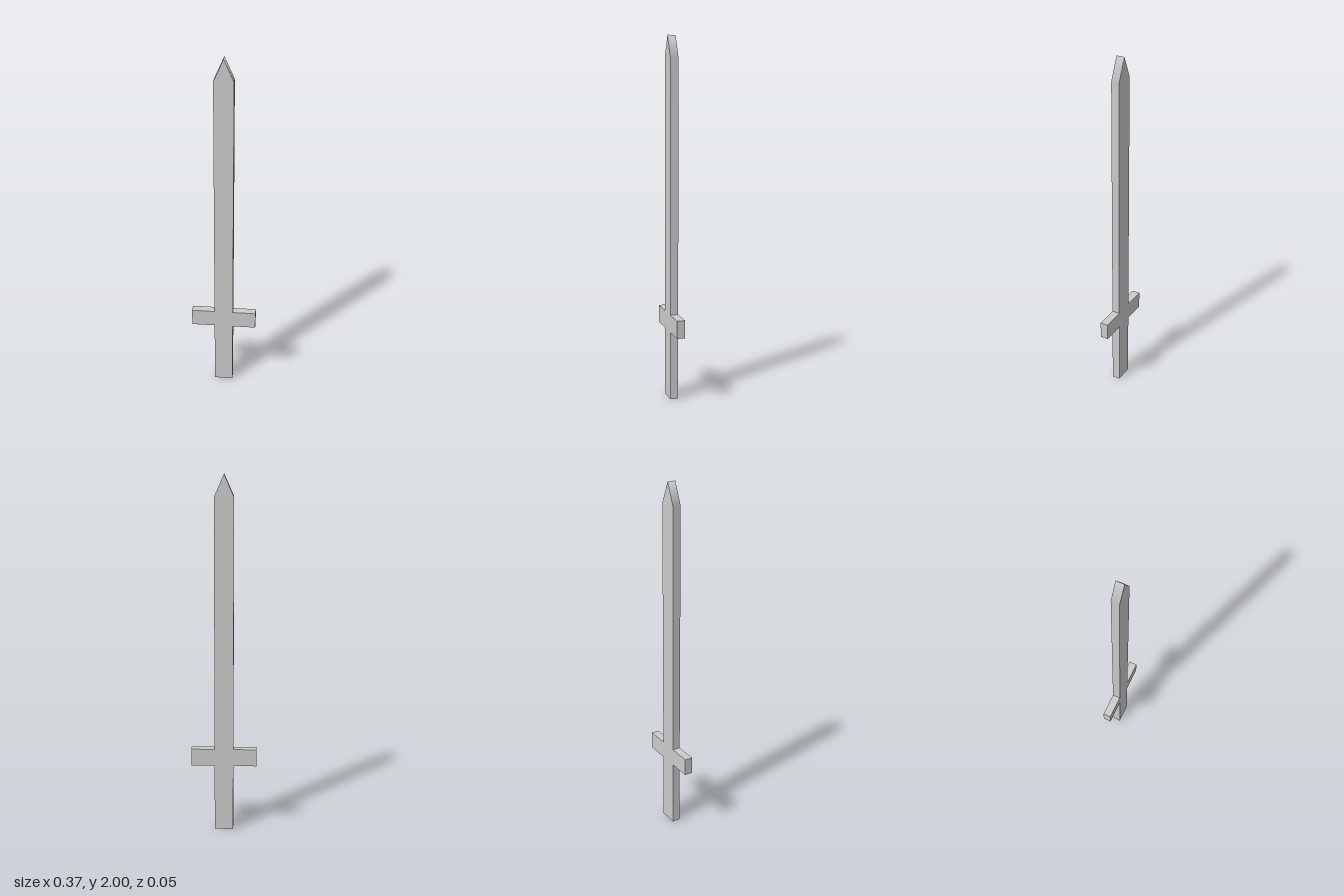
import * as THREE from 'three';

const DEPTH = 0.045;
const BLADE_HALF = 0.0525;
const GUARD_HALF = 0.183;
const GUARD_BOTTOM = 0.386;
const GUARD_TOP = 0.484;
const SHOULDER = 1.881;
const TIP = 2;

const material = new THREE.MeshStandardMaterial({ color: 0xcccccc });

function addPart(group, name, geometry) {
  const mesh = new THREE.Mesh(geometry, material);
  mesh.name = name;
  group.add(mesh);
}

// Flat bar standing between two heights
function bar(halfWidth, y0, y1) {
  return new THREE.BoxGeometry(halfWidth * 2, y1 - y0, DEPTH).translate(0, (y0 + y1) / 2, 0);
}

// Flat slab with a pointed end, its edge shaded smoothly over the point
function bladeGeometry() {
  const outline = new THREE.Shape([
    new THREE.Vector2(-BLADE_HALF, GUARD_TOP),
    new THREE.Vector2(BLADE_HALF, GUARD_TOP),
    new THREE.Vector2(BLADE_HALF, SHOULDER),
    new THREE.Vector2(0, TIP),
    new THREE.Vector2(-BLADE_HALF, SHOULDER),
  ]);
  const geometry = new THREE.ExtrudeGeometry(outline, { depth: DEPTH, bevelEnabled: false });
  geometry.translate(0, 0, -DEPTH / 2);
  const { position, normal } = geometry.attributes;
  for (let i = 0; i < position.count; i++) {
    const onEdge = Math.abs(normal.getZ(i)) < 0.5;
    if (!onEdge || position.getY(i) < SHOULDER - 0.01) continue;
    const x = position.getX(i);
    if (Math.abs(x) < 0.001) normal.setXYZ(i, 0, 1, 0);
    else normal.setXYZ(i, Math.sign(x), 0, 0);
  }
  return geometry;
}

export function createModel() {
  const sword = new THREE.Group();
  sword.name = 'sword';
  addPart(sword, 'grip', bar(BLADE_HALF, 0, GUARD_BOTTOM));
  addPart(sword, 'crossGuard', bar(GUARD_HALF, GUARD_BOTTOM, GUARD_TOP));
  addPart(sword, 'blade', bladeGeometry());
  return sword;
}
